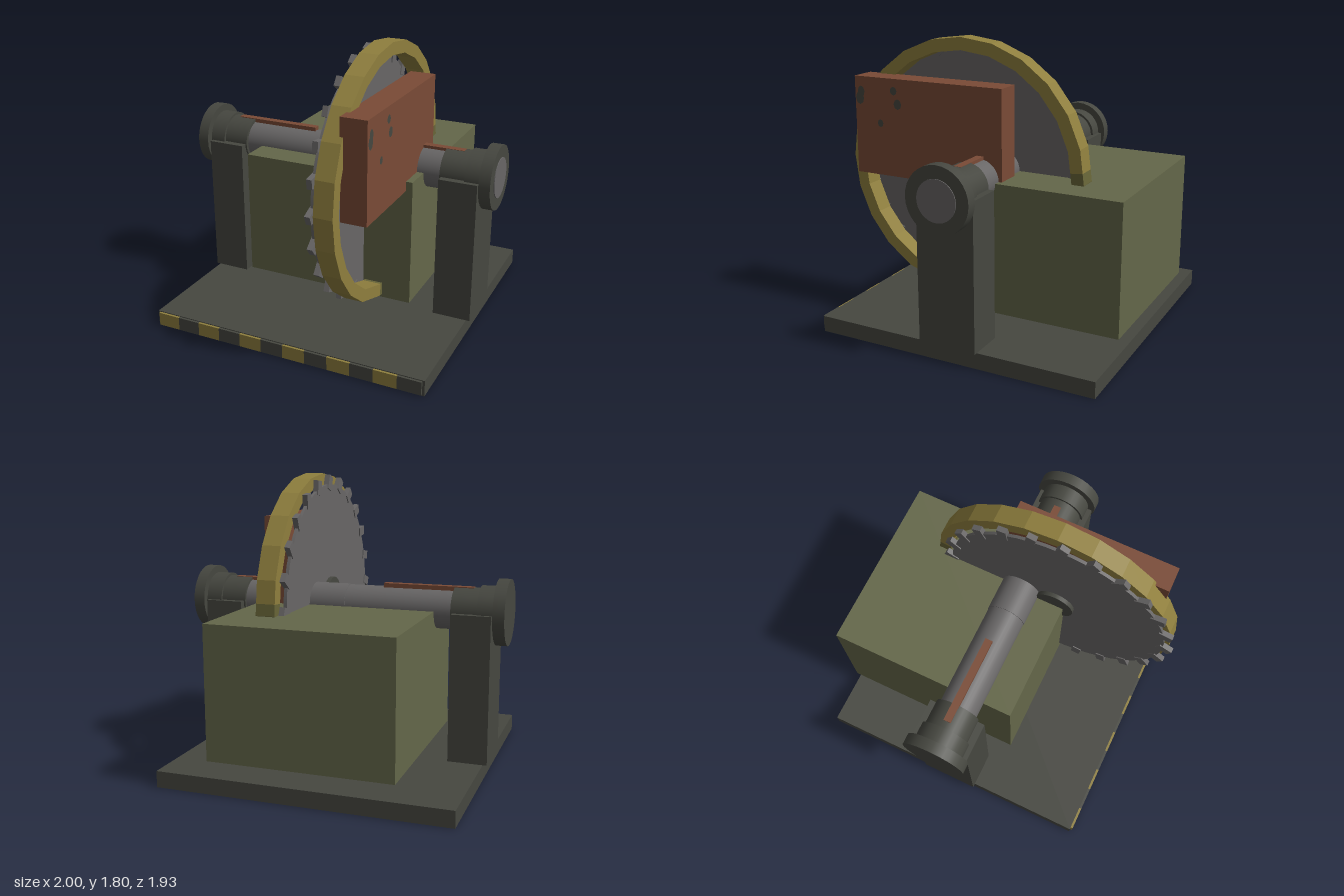
import * as THREE from 'three';

const mat = (name, color) => Object.assign(new THREE.MeshStandardMaterial({ color }), { name });

export function createModel() {
  const dark = mat('dark iron', 0x464740);
  const green = mat('olive housing', 0x646749);
  const rust = mat('rust brown', 0x7a4b36);
  const yellow = mat('worn yellow', 0x8f7f3e);
  const grime = mat('grimy yellow', 0x686538);
  const steel = mat('grey steel', 0x686666);

  const model = new THREE.Group();
  const shaftZ = -0.065;

  function add(name, geometry, material, parent = model) {
    const mesh = new THREE.Mesh(geometry, material);
    mesh.name = name;
    parent.add(mesh);
    return mesh;
  }
  // box from its lower and upper limits on each axis
  function box(name, material, x0, x1, y0, y1, z0, z1) {
    const mesh = add(name, new THREE.BoxGeometry(x1 - x0, y1 - y0, z1 - z0), material);
    mesh.position.set((x0 + x1) / 2, (y0 + y1) / 2, (z0 + z1) / 2);
    return mesh;
  }
  // cylinder lying along x
  function rod(name, material, x0, x1, radius, z = shaftZ, sides = 32) {
    const mesh = add(name, new THREE.CylinderGeometry(radius, radius, x1 - x0, sides), material);
    mesh.rotation.z = Math.PI / 2;
    mesh.position.set((x0 + x1) / 2, 1, z);
    return mesh;
  }

  // base with a hazard-striped front edge
  box('base', dark, -0.895, 0.89, 0, 0.1, -0.965, 0.835);
  const tile = 0.1463;
  for (let i = 0; i < 12; i++) {
    const x = -0.88 + i * tile;
    box('hazardStripe', i % 2 ? dark : yellow, x, x + tile, 0.01, 0.095, 0.835, 0.85);
  }

  // housing and bearing posts
  box('housing', green, -0.565, 0.557, 0.2, 1, -0.965, 0.235);
  box('rightPost', dark, -0.92, -0.68, 0.1, 1, -0.245, 0.12);
  box('leftPost', dark, 0.673, 0.913, 0.1, 1, -0.245, 0.12);

  // shaft with stepped bearings, end flanges and keys
  rod('shaft', steel, -0.97, 0, 0.12);
  rod('shaftSleeve', steel, 0, 0.998, 0.124);
  for (const side of [-1, 1]) {
    const span = (name, a, b, r) => {
      const shift = side < 0 ? 0 : -0.007;
      const p = side * a + shift, q = side * b + shift;
      rod(name, dark, Math.min(p, q), Math.max(p, q), r);
    };
    span('innerBearing', 0.67, 0.84, 0.14);
    span('outerBearing', 0.83, 0.93, 0.155);
    span('endFlange', 0.93, 1, 0.2);
  }
  box('rightKey', rust, -0.785, -0.225, 1.08, 1.143, -0.092, -0.045);
  box('leftKey', rust, 0.3, 0.775, 1.08, 1.14, -0.092, -0.045);

  // saw blade; its group's local x runs along -z and local z along +x
  const blade = new THREE.Group();
  blade.name = 'sawBlade';
  blade.rotation.y = Math.PI / 2;
  blade.position.set(0.237, 1.003, 0.175);
  model.add(blade);
  const disc = add('bladeDisc', new THREE.CylinderGeometry(0.725, 0.725, 0.02, 48), steel, blade);
  disc.rotation.x = Math.PI / 2;
  const toothGeometry = new THREE.BoxGeometry(0.09, 0.06, 0.034);
  for (let i = 0; i < 24; i++) {
    const a = i * Math.PI / 12;
    const tooth = add('bladeTooth', toothGeometry, steel, blade);
    tooth.position.set(0.733 * Math.cos(a), 0.733 * Math.sin(a), 0);
    tooth.rotation.z = a + 0.4;
  }
  rod('bladeHub', dark, 0.2, 0.28, 0.125, 0.175, 24);

  // faceted guard arc beside the blade, with grimy tips
  const guard = new THREE.Group();
  guard.name = 'bladeGuard';
  guard.rotation.y = Math.PI / 2;
  guard.position.set(0.257, 1.003, 0.135);
  model.add(guard);
  function arc(name, material, degrees) {
    const ring = (r) => degrees.map((d) => {
      // points between corners stay on the straight facet
      const off = (((d % 15) + 15) % 15) - 7.5;
      const k = r * Math.cos(Math.PI / 24) / Math.cos(off * Math.PI / 180);
      const a = d * Math.PI / 180;
      return new THREE.Vector2(k * Math.cos(a), k * Math.sin(a));
    });
    const shape = new THREE.Shape([...ring(0.795), ...ring(0.718).reverse()]);
    add(name, new THREE.ExtrudeGeometry(shape, { depth: 0.118, bevelEnabled: false }), material, guard);
  }
  const corners = Array.from({ length: 16 }, (_, i) => 15 + i * 15);
  arc('guardArc', yellow, [5, ...corners, 260]);
  arc('guardTip', grime, [-6, 0, 5]);
  arc('guardTip', grime, [260, 270]);

  // brown side block with worn patches
  box('sideBlock', rust, 0.355, 0.515, 0.94, 1.543, -0.21, 0.8);
  const patches = [
    [0.765, 1.41, 0.03, 0.04], [0.755, 1.45, 0.025, 0.035],
    [0.52, 1.47, 0.024, 0.026], [0.493, 1.39, 0.027, 0.032], [0.62, 1.265, 0.02, 0.024],
  ];
  for (const [z, y, w, h] of patches) {
    const patch = add('wornPatch', new THREE.CircleGeometry(1, 8), dark);
    patch.scale.set(w, h, 1);
    patch.rotation.y = Math.PI / 2;
    patch.position.set(0.518, y, z);
  }

  return model;
}
